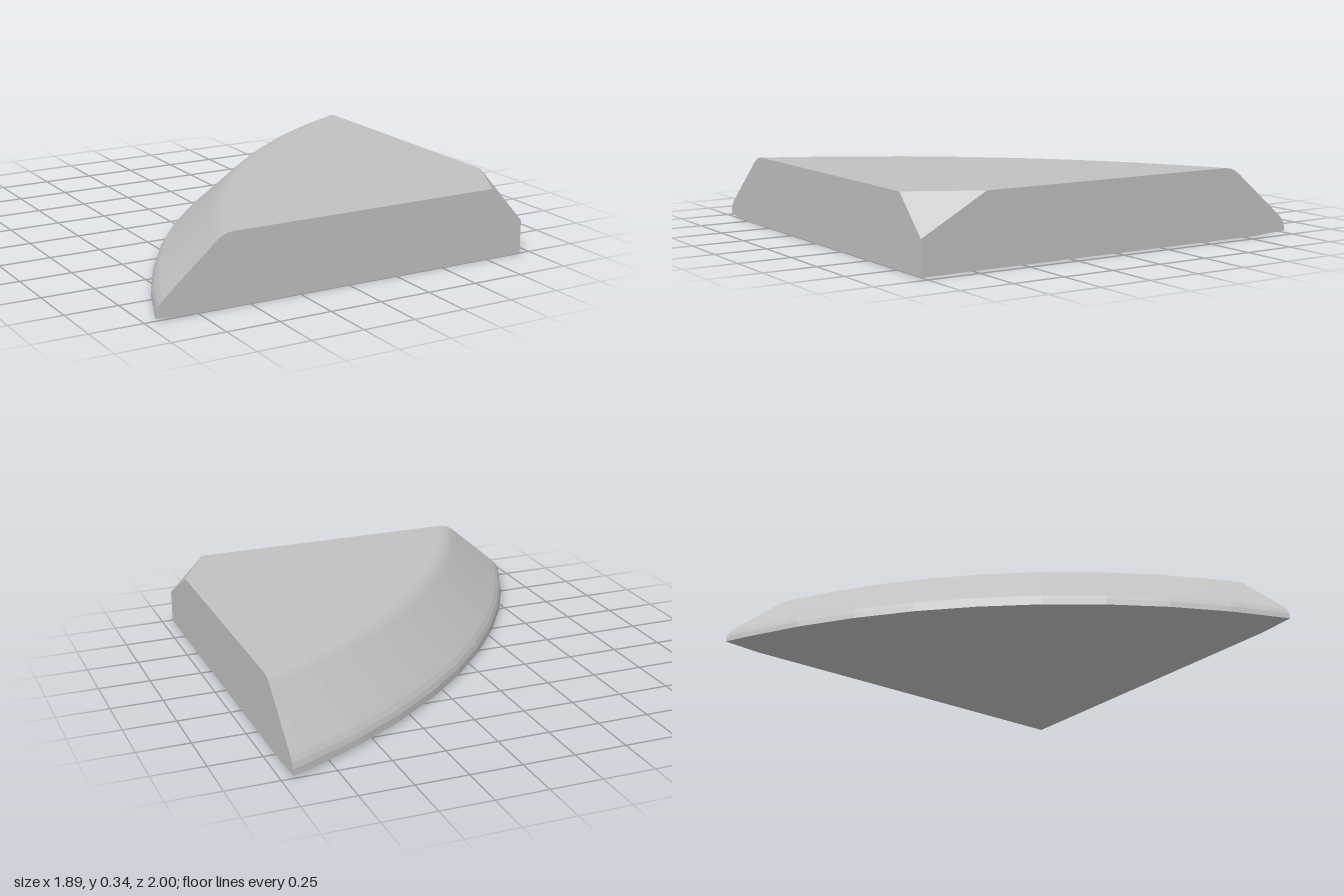
import * as THREE from 'three';
import { ConvexGeometry } from 'three/addons/geometries/ConvexGeometry.js';

// Cut planes of the wedge, and the centre of its curved rim
const SIDE_X = 0.945, FRONT_Z = 1, TOP = 0.335;
const CX = 2.314, CZ = 2.193;

// Rim cross-section as [radius, height], from the underside to the top
const PROFILE = [
  [3.3, 0], [3.474, 0.01], [3.47, 0.04], [3.46, 0.062], [3.443, 0.084],
  [3.215, 0.295], [3.198, 0.31], [3.18, 0.322], [3.16, 0.331], [3.135, TOP],
];

// Points along one ring of the rim, trimmed by the two cut planes
function ringPoints(radius, y) {
  const start = Math.asin((CZ - FRONT_Z) / radius);
  const end = Math.acos((CX - SIDE_X) / radius);
  const angles = [start, end];
  for (let deg = 25; deg <= 65; deg += 5) {
    const a = THREE.MathUtils.degToRad(deg);
    if (a > start + 0.005 && a < end - 0.005) angles.push(a);
  }
  return angles.map((a) =>
    new THREE.Vector3(CX - radius * Math.cos(a), y, CZ - radius * Math.sin(a)));
}

export function createModel() {
  const stone = new THREE.MeshStandardMaterial({ color: 0xc0c0c0 });
  stone.name = 'light grey';

  // Sloped rim with rounded edges
  const points = PROFILE.flatMap(([r, y]) => ringPoints(r, y));

  // Square front corner with its tip cut off
  points.push(
    new THREE.Vector3(SIDE_X, 0, FRONT_Z),
    new THREE.Vector3(SIDE_X, 0.16, FRONT_Z),
    new THREE.Vector3(0.77, TOP, FRONT_Z),
    new THREE.Vector3(SIDE_X, TOP, 0.68),
  );

  const wedge = new THREE.Mesh(new ConvexGeometry(points), stone);
  wedge.name = 'curvedWedge';

  const model = new THREE.Group();
  model.name = 'quarterSlab';
  model.add(wedge);
  return model;
}
